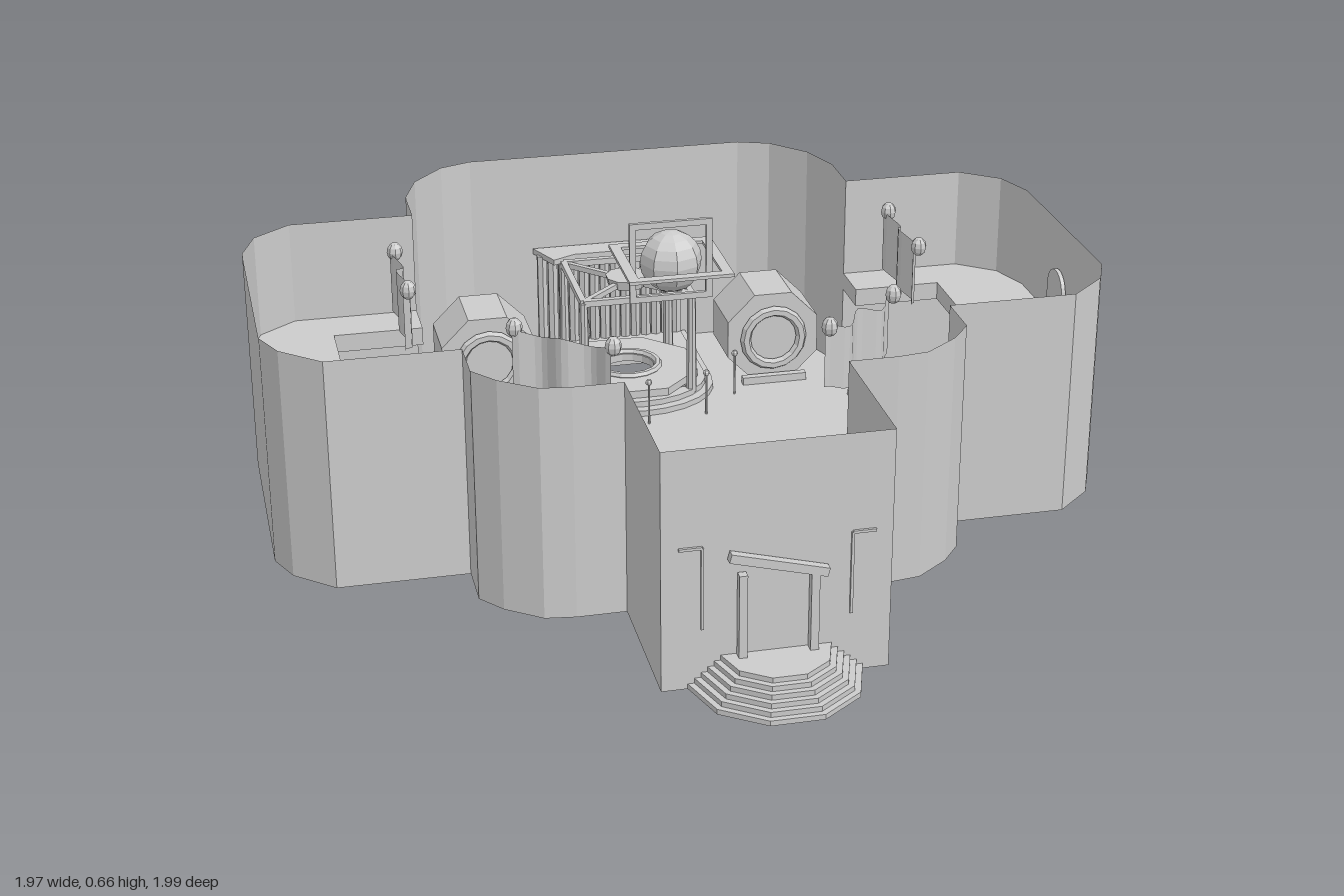
import * as THREE from 'three';

const mat = new THREE.MeshStandardMaterial({ color: 0xcccccc, flatShading: true, side: THREE.DoubleSide });

export function createModel() {
  const root = new THREE.Group();
  const add = (name, geo, x = 0, y = 0, z = 0) => {
    const m = new THREE.Mesh(geo, mat);
    m.name = name;
    m.position.set(x, y, z);
    root.add(m);
    return m;
  };
  const box = (name, w, h, d, x, y, z) => add(name, new THREE.BoxGeometry(w, h, d), x, y, z);
  // Plan points are [x, z]; slabs are raised from y0 to y1.
  const toV = ([x, z]) => new THREE.Vector2(x, -z);
  const slab = (name, pts, y0, y1, holes = []) => {
    const s = new THREE.Shape(pts.map(toV));
    for (const h of holes) s.holes.push(new THREE.Path(h.map(toV)));
    const g = new THREE.ExtrudeGeometry(s, { depth: y1 - y0, bevelEnabled: false });
    return add(name, g.rotateX(-Math.PI / 2), 0, y0, 0);
  };
  const ngon = (r, n, cx, cz, turn = 0) => Array.from({ length: n }, (_, i) => {
    const a = turn + (i / n) * Math.PI * 2;
    return [cx + r * Math.cos(a), cz + r * Math.sin(a)];
  });
  const beam = (name, a, b, t) => {
    const p = new THREE.Vector3(...a), q = new THREE.Vector3(...b);
    const m = box(name, t, t, p.distanceTo(q), 0, 0, 0);
    m.position.copy(p).add(q).multiplyScalar(0.5);
    m.lookAt(q);
    return m;
  };

  // Outer walls and floor
  const half = [[0.36, -1], [0.44, -0.97], [0.52, -0.88], [0.557, -0.77], [0.557, -0.64], [0.86, -0.64],
    [0.95, -0.57], [0.985, -0.47], [0.985, 0.05], [0.95, 0.13], [0.86, 0.21], [0.557, 0.21],
    [0.557, 0.33], [0.51, 0.39], [0.43, 0.45], [0.36, 0.46], [0.247, 0.46], [0.247, 0.81]];
  const outline = [...half, ...half.map(([x, z]) => [-x, z]).reverse()];
  const wallPos = [], H = 0.555;
  outline.forEach(([x, z], i) => {
    const [u, w] = outline[(i + 1) % outline.length];
    wallPos.push(x, 0, z, x, H, z, u, H, w, x, 0, z, u, H, w, u, 0, w);
  });
  const wallGeo = new THREE.BufferGeometry();
  wallGeo.setAttribute('position', new THREE.Float32BufferAttribute(wallPos, 3));
  wallGeo.computeVertexNormals();
  add('walls', wallGeo);
  const cz = -0.725;
  const pit = ngon(0.18, 4, 0, cz, Math.PI / 4);
  slab('floor', outline, 0.002, 0.01, [pit]);

  // Apse platform, dais and ringed opening
  const apse = (w, front) => {
    const p = [[w, -0.995]];
    for (let i = 0; i <= 12; i++) {
      const a = (i / 12) * Math.PI;
      p.push([w * Math.cos(a), -0.68 + (front + 0.68) * Math.sin(a)]);
    }
    return [...p, [-w, -0.995]];
  };
  slab('apseStep', apse(0.215, -0.505), 0.01, 0.025, [pit]);
  slab('apsePlatform', apse(0.195, -0.53), 0.025, 0.04, [pit]);
  slab('dais', ngon(0.185, 8, 0, cz, Math.PI / 8), 0.04, 0.06, [ngon(0.068, 16, 0, cz)]);
  const rim = add('daisRim', new THREE.TorusGeometry(0.08, 0.01, 6, 16), 0, 0.062, cz);
  rim.rotation.x = Math.PI / 2;

  // Canopy over the dais
  const corners = [[-0.14, -0.59], [0.14, -0.59], [0.14, -0.87], [-0.14, -0.87]];
  corners.forEach(([x, z], i) => {
    const [u, w] = corners[(i + 1) % 4];
    add('canopyColumn', new THREE.CylinderGeometry(0.011, 0.014, 0.27, 8), x, 0.165, z);
    beam('canopyBeam', [x, 0.3, z], [u, 0.3, w], 0.016);
    beam('canopyBrace', [x, 0.3, z], [x * 0.28, 0.3, cz + (z - cz) * 0.28], 0.014);
  });
  add('canopyHub', new THREE.CylinderGeometry(0.056, 0.05, 0.025, 10), 0, 0.3, cz);

  // Pleated screen behind the dais
  slab('screenTop', [[-0.2, -0.995], [0.2, -0.995], [0.16, -0.9], [0.1, -0.93], [-0.1, -0.93], [-0.16, -0.9]], 0.285, 0.3);
  for (let i = 0; i < 14; i++)
    add('screenPleat', new THREE.CylinderGeometry(0.014, 0.014, 0.25, 6), -0.182 + i * 0.028, 0.165, -0.965);

  // Hanging dome with crossed square frames
  add('dome', new THREE.SphereGeometry(0.075, 8, 10), 0, H, -0.2);
  const frame = (name, o, n, t) => {
    const sq = (r) => [[-r, -r], [r, -r], [r, r], [-r, r]].map((p) => new THREE.Vector2(...p));
    const s = new THREE.Shape(sq(o));
    s.holes.push(new THREE.Path(sq(n)));
    return add(name, new THREE.ExtrudeGeometry(s, { depth: t, bevelEnabled: false }).translate(0, 0, -t / 2), 0, H, -0.2);
  };
  frame('uprightFrame', 0.1, 0.085, 0.01);
  frame('levelFrame', 0.125, 0.1, 0.008).rotation.x = Math.PI / 2;

  // Banner hung between two lamps
  const banner = ([x0, z0], [x1, z1]) => {
    for (const [x, z] of [[x0, z0], [x1, z1]])
      add('lamp', new THREE.SphereGeometry(0.019, 8, 6).scale(1, 1.2, 1), x, 0.578, z);
    const g = new THREE.PlaneGeometry(1, 0.15, 16, 1), p = g.attributes.position;
    const dx = x1 - x0, dz = z1 - z0, len = Math.hypot(dx, dz);
    for (let i = 0; i < p.count; i++) {
      const t = p.getX(i) + 0.5, wave = Math.cos(t * Math.PI * 4);
      p.setXYZ(i, x0 + dx * t - (dz / len) * 0.012 * wave, 0.495 + p.getY(i) + 0.008 * wave,
        z0 + dz * t + (dx / len) * 0.012 * wave);
    }
    g.computeVertexNormals();
    add('banner', g);
  };
  banner([-0.635, -0.345], [-0.635, -0.1]);
  banner([0.58, -0.345], [0.58, -0.1]);

  for (const s of [-1, 1]) {
    const m = (pts) => pts.map(([x, z]) => [s * x, z]);
    banner([s * 0.435, 0.17], [s * 0.243, 0.32]);

    // Wing gallery with a cut-out, and the stage beneath it
    slab('wingGallery', m([[0.557, -0.64], ...half.slice(5, 11), [0.557, 0.21], [0.557, 0.1], [0.775, 0.1],
      [0.775, -0.525], [0.557, -0.525]]), 0.255, 0.3);
    slab('wingStage', m([[0.775, -0.525], [0.775, 0.1], [0.635, -0.01], [0.635, -0.4]]), 0.01, 0.07);
    box('wingSill', 0.02, 0.015, 0.62, s * 0.55, 0.018, -0.21);
    const fan = add('stageArch', new THREE.TorusGeometry(0.1, 0.014, 6, 16, Math.PI), s * 0.76, 0.07, -0.21);
    fan.rotation.y = Math.PI / 2;
    for (const z of [-0.45, 0.02]) box('stageBracket', 0.03, 0.05, 0.02, s * 0.755, 0.095, z).rotation.y = s * Math.sign(z) * 0.7;

    // Arched doorway on the gallery
    const arch = new THREE.Shape();
    arch.moveTo(-0.05, 0).lineTo(0.05, 0).lineTo(0.05, 0.09).absarc(0, 0.09, 0.05, 0, Math.PI, false);
    const door = add('galleryDoor', new THREE.ExtrudeGeometry(arch, { depth: 0.01, bevelEnabled: false, curveSegments: 8 }),
      s * 0.982, 0.3, -0.21);
    door.rotation.y = -s * Math.PI / 2;

    // Corner gallery with a curved edge
    slab('cornerGallery', m([[0.557, 0.205], ...half.slice(12, 17), [0.247, 0.4], [0.26, 0.36], [0.3, 0.29],
      [0.35, 0.24], [0.42, 0.21]]), 0.255, 0.3);

    // Drum cabinet with a ring front
    const drum = new THREE.CylinderGeometry(0.13, 0.13, 0.165, 8).rotateY(Math.PI / 8).rotateX(Math.PI / 2);
    add('drumCabinet', drum, s * 0.375, 0.13, -0.745);
    add('drumRing', new THREE.TorusGeometry(0.075, 0.014, 6, 16), s * 0.375, 0.13, -0.655);
    box('drumFoot', 0.17, 0.02, 0.02, s * 0.375, 0.02, -0.645);

    // Entrance posts and slim wall trims
    box('doorPost', 0.018, 0.2, 0.02, s * 0.077, 0.165, 0.823);
    box('wallTrim', 0.006, 0.19, 0.006, s * 0.16, 0.235, 0.813);
    box('wallTrimTop', 0.05, 0.006, 0.006, s * 0.185, 0.33, 0.813);
  }

  // Small bollards before the apse
  for (const [x, z] of [[-0.535, -0.59], [-0.255, -0.59], [-0.155, -0.485], [0, -0.46], [0.155, -0.485], [0.255, -0.59], [0.535, -0.59]]) {
    add('bollard', new THREE.CylinderGeometry(0.003, 0.003, 0.11, 6), x, 0.065, z);
    add('bollardLight', new THREE.SphereGeometry(0.009, 6, 5), x, 0.125, z);
  }

  // Entrance: tilted lintel, outer half-round steps, inner pointed steps
  beam('doorLintel', [-0.105, 0.308, 0.823], [0.105, 0.252, 0.823], 0.02);
  for (let i = 0; i < 6; i++) {
    const r = 0.19 - i * 0.014, h = 0.012 * (i + 1);
    add('outerStep', new THREE.CylinderGeometry(r, r, h, 5, 1, false, -Math.PI / 2, Math.PI), 0, h / 2, 0.81);
  }
  for (let i = 0; i < 5; i++) {
    const r = 0.23 - i * 0.023, c = 0.75;
    slab('innerStep', [[0, c - r], [r, c], [r - 0.055, 0.805], [0.055 - r, 0.805], [-r, c]], 0.01, 0.022 + i * 0.012);
  }
  return root;
}
